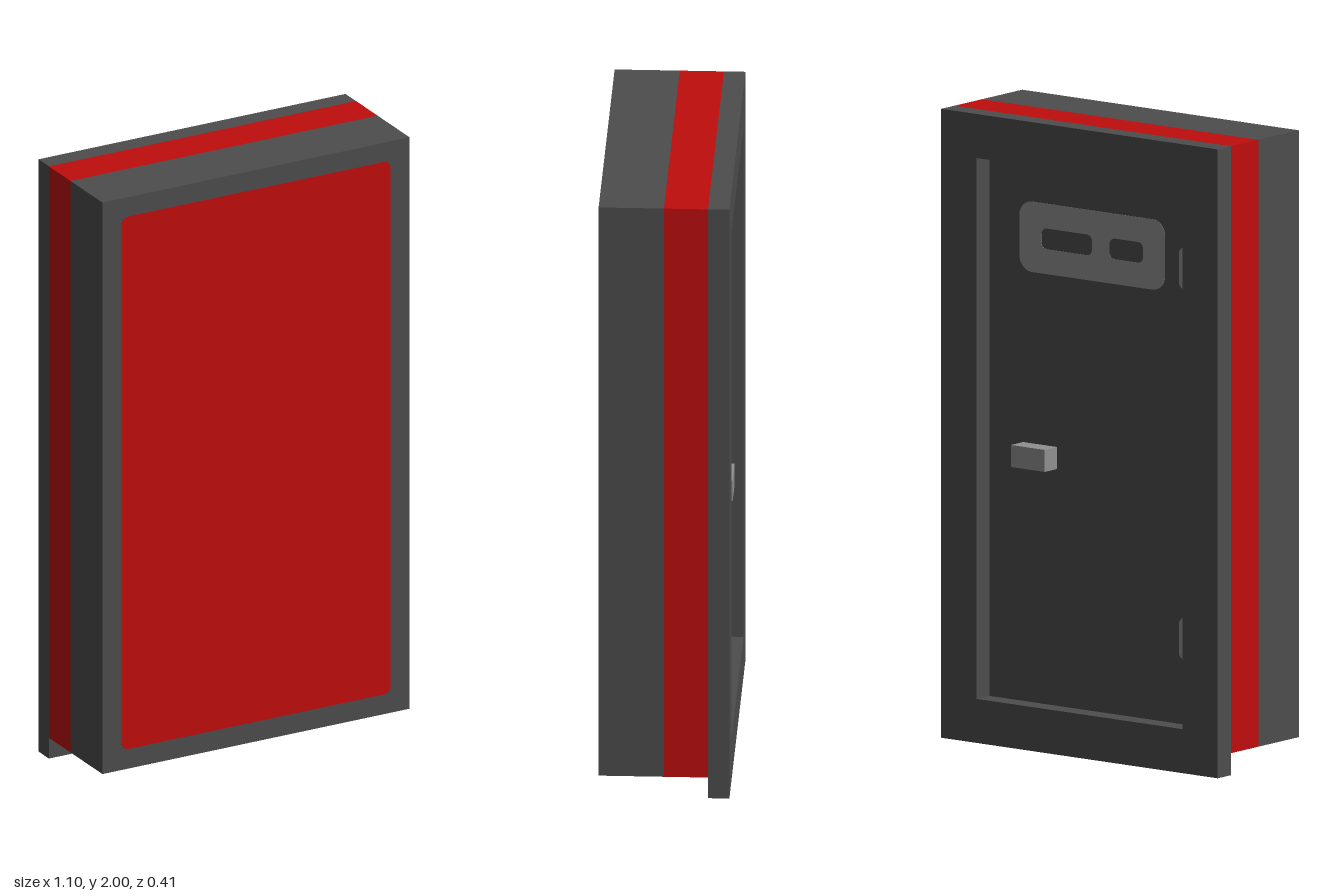
import * as THREE from 'three';

const mat = (name, color) => {
  const m = new THREE.MeshStandardMaterial({ color });
  m.name = name;
  return m;
};

// Rectangle with a corner radius for its left and its right side
function roundRect(path, x0, y0, x1, y1, rl, rr = rl) {
  path.moveTo(x0 + rl, y0);
  path.lineTo(x1 - rr, y0);
  if (rr) path.absarc(x1 - rr, y0 + rr, rr, -Math.PI / 2, 0);
  path.lineTo(x1, y1 - rr);
  if (rr) path.absarc(x1 - rr, y1 - rr, rr, 0, Math.PI / 2);
  path.lineTo(x0 + rl, y1);
  if (rl) path.absarc(x0 + rl, y1 - rl, rl, Math.PI / 2, Math.PI);
  path.lineTo(x0, y0 + rl);
  if (rl) path.absarc(x0 + rl, y0 + rl, rl, Math.PI, Math.PI * 1.5);
  return path;
}

export function createModel() {
  const grey = mat('dark grey', 0x4d4d4d);
  const red = mat('red', 0xc00d0d);
  const silver = mat('light grey', 0x909090);
  const group = new THREE.Group();

  const add = (name, geometry, material) => {
    const mesh = new THREE.Mesh(geometry, material);
    mesh.name = name;
    group.add(mesh);
  };
  const box = (name, material, x0, x1, y0, y1, z0, z1) => {
    const g = new THREE.BoxGeometry(x1 - x0, y1 - y0, z1 - z0);
    g.translate((x0 + x1) / 2, (y0 + y1) / 2, (z0 + z1) / 2);
    add(name, g, material);
  };
  const plate = (name, material, shape, z0, z1) => {
    const g = new THREE.ExtrudeGeometry(shape, { depth: z1 - z0, bevelEnabled: false, curveSegments: 6 });
    g.translate(0, 0, z0);
    add(name, g, material);
  };

  // Layered body
  const W = 0.55, back = -0.205, bandBack = -0.138, front = 0.204;
  box('frontBody', grey, -W, W, 0.07, 2, 0, front);
  box('middleBand', red, -W, W, 0.07, 2, bandBack, 0);
  plate('frontPanel', red, roundRect(new THREE.Shape(), -0.482, 0.137, 0.482, 1.935, 0.025), front - 0.002, front + 0.001);

  // Back frame around the recessed door
  const frame = roundRect(new THREE.Shape(), -W, 0, W, 2, 0);
  frame.holes.push(roundRect(new THREE.Path(), -0.41, 0.14, 0.41, 1.86, 0));
  plate('backFrame', grey, frame, back, bandBack);
  const door = bandBack - 0.002;
  box('door', grey, -0.41, 0.41, 0.14, 1.86, door, bandBack + 0.001);

  // Window surround with two slots
  const surround = roundRect(new THREE.Shape(), -0.29, 1.508, 0.29, 1.732, 0.05);
  for (const [x0, x1] of [[0, 0.203], [-0.203, -0.068]])
    surround.holes.push(roundRect(new THREE.Path(), x0, 1.587, x1, 1.653, 0.022));
  plate('windowSurround', silver, surround, door - 0.001, door);

  // Hinges, rounded on the side facing the door
  for (const y of [0.412, 1.59])
    plate('hinge', silver, roundRect(new THREE.Shape(), -0.41, y - 0.068, -0.345, y + 0.068, 0, 0.025), door - 0.001, door);

  box('handle', silver, 0.14, 0.275, 0.893, 0.963, back + 0.002, door);

  return group;
}
